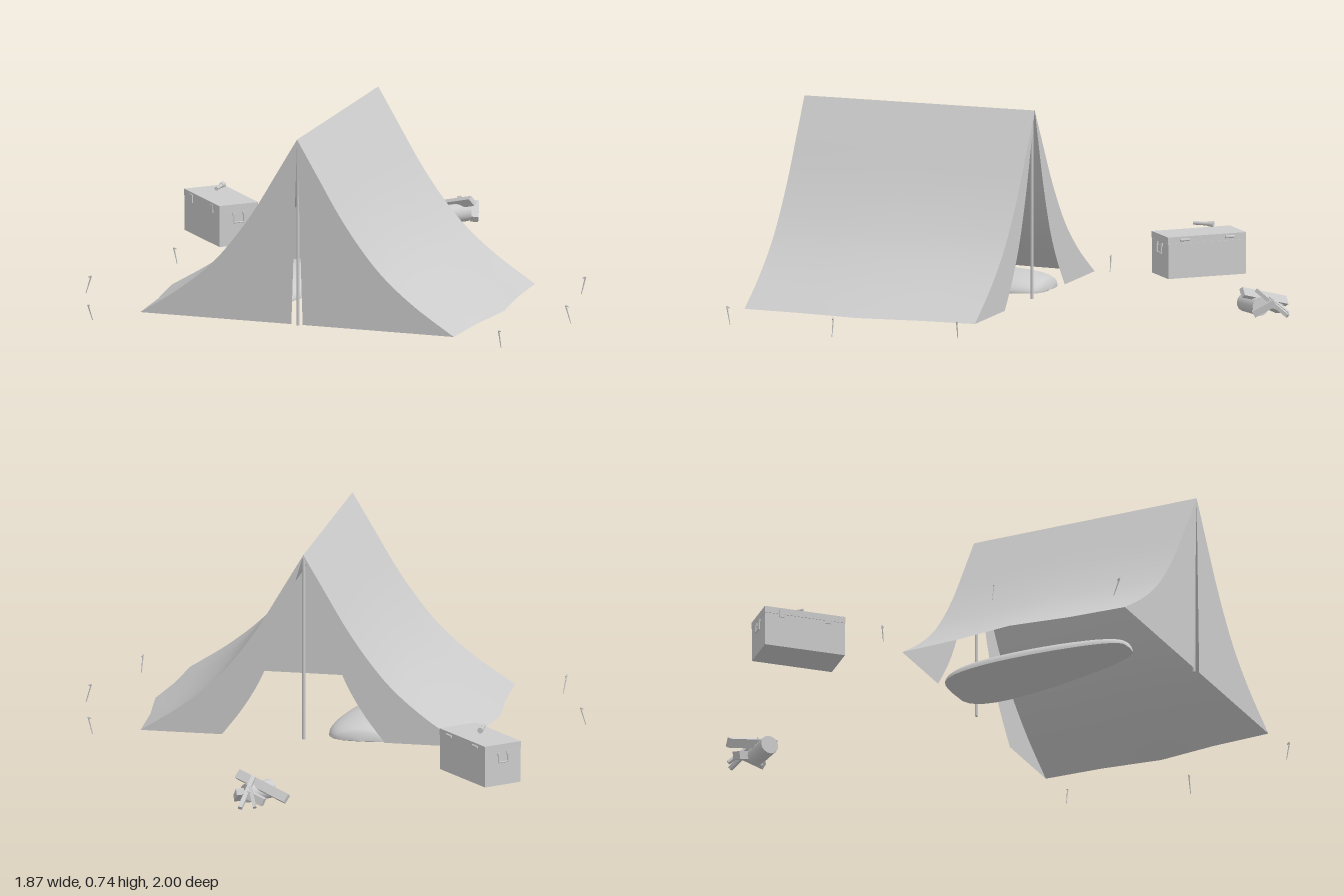
import * as THREE from 'three';

const grey = new THREE.MeshStandardMaterial({ color: 0xcccccc });
const cloth = new THREE.MeshStandardMaterial({ color: 0xcccccc, side: THREE.DoubleSide });
const V = (x, y, z) => new THREE.Vector3(x, y, z);
const lerp = THREE.MathUtils.lerp;

const RIDGE_X = 0.02, BACK = 0.02, FRONT = 0.93;

// Sagging cloth profile: distance from the ridge against height
const profile = new THREE.CatmullRomCurve3(
  [[0, 0.74], [0.08, 0.605], [0.17, 0.455], [0.26, 0.33], [0.34, 0.24], [0.46, 0.14], [0.612, 0.04]]
    .map(([d, y]) => V(d, y, 0)));

function add(parent, name, geometry, material = grey) {
  const mesh = new THREE.Mesh(geometry, material);
  mesh.name = name;
  parent.add(mesh);
  return mesh;
}

// Thin surface from a rule (u, v in 0..1) => point
function sheet(rule, nu, nv) {
  const g = new THREE.PlaneGeometry(1, 1, nu, nv);
  const p = g.attributes.position, uv = g.attributes.uv;
  for (let i = 0; i < p.count; i++) {
    const q = rule(uv.getX(i), uv.getY(i));
    p.setXYZ(i, q.x, q.y, q.z);
  }
  g.computeVertexNormals();
  return g;
}

// Places a mesh built along +y so that it runs from a to b
function aim(mesh, a, b) {
  mesh.position.copy(a).add(b).multiplyScalar(0.5);
  mesh.quaternion.setFromUnitVectors(V(0, 1, 0), b.clone().sub(a).normalize());
  return mesh;
}

function rod(parent, name, a, b, r, sides = 8, r2 = r) {
  return aim(add(parent, name, new THREE.CylinderGeometry(r2, r, a.distanceTo(b), sides)), a, b);
}

function plank(parent, name, a, b, w, t, roll = 0) {
  const g = new THREE.BoxGeometry(w, a.distanceTo(b), t).rotateY(roll);
  return aim(add(parent, name, g), a, b);
}

function makeTent() {
  const tent = new THREE.Group();
  tent.name = 'tent';
  const bulge = [0, 0.01, 0.037, 0.01, 0];
  for (const s of [1, -1]) {
    // Roof half, pulled outwards at the middle of its hem
    add(tent, 'roofSide', sheet((u, v) => {
      const p = profile.getPoint(v);
      return V(RIDGE_X + s * (p.x + bulge[Math.round(u * 4)] * v * v), p.y, lerp(BACK, FRONT, u));
    }, 4, 20), cloth);
    // Front flap, almost closed
    add(tent, 'frontFlap', sheet((u, v) => {
      const p = profile.getPoint(v);
      const inner = 0.022 * (0.74 - p.y) / 0.7;
      return V(RIDGE_X + s * lerp(inner, p.x, u), p.y, FRONT);
    }, 1, 20), cloth);
    // Back flap, drawn halfway open
    add(tent, 'backFlap', sheet((u, v) => {
      const p = profile.getPoint(v);
      return V(RIDGE_X + s * p.x * lerp(0.5, 1, u), p.y, BACK);
    }, 1, 20), cloth);
  }
  for (const z of [BACK + 0.01, FRONT - 0.01])
    rod(tent, 'pole', V(RIDGE_X, 0.035, z), V(RIDGE_X, 0.73, z), 0.006);
  return tent;
}

// Puffy bag, narrow at the feet, flat underneath
function makeSleepingBag() {
  const g = new THREE.SphereGeometry(1, 32, 20).rotateX(Math.PI / 2);
  const p = g.attributes.position;
  for (let i = 0; i < p.count; i++) {
    const x = p.getX(i), y = p.getY(i), z = p.getZ(i);
    const t = (1 - z) / 2;
    const full = 1 / Math.sqrt(Math.max(Math.hypot(x, y), 1e-3));
    p.setXYZ(i,
      lerp(-0.27, -0.19, t) + x * full * lerp(0.1, 0.19, t),
      0.037 + y * full * (y > 0 ? lerp(0.05, 0.075, t) : 0.006),
      0.415 + z * 0.38);
  }
  g.computeVertexNormals();
  const bag = new THREE.Mesh(g, grey);
  bag.name = 'sleepingBag';
  return bag;
}

// Peg with a small hook, given its foot and its head
function makePeg(foot, head) {
  const peg = new THREE.Group();
  peg.name = 'peg';
  rod(peg, 'pegShaft', foot, head, 0.0015, 6, 0.003);
  const out = V(head.x - foot.x, 0, head.z - foot.z).normalize().multiplyScalar(-0.011);
  rod(peg, 'pegHook', head, head.clone().add(out).add(V(0, -0.005, 0)), 0.0025, 6);
  return peg;
}

function makeChest() {
  const chest = new THREE.Group();
  chest.name = 'chest';
  const L = 0.31, W = 0.155;
  add(chest, 'chestBody', new THREE.BoxGeometry(L, 0.13, W)).position.y = 0.1;
  add(chest, 'chestLid', new THREE.BoxGeometry(L + 0.002, 0.025, W + 0.002)).position.y = 0.178;
  for (const s of [1, -1]) {
    // Drop handle on each end
    const x = s * (L / 2 + 0.004);
    rod(chest, 'handleGrip', V(x, 0.123, -0.02), V(x, 0.123, 0.02), 0.003);
    for (const z of [-0.02, 0.02]) {
      rod(chest, 'handleArm', V(x, 0.123, z), V(x, 0.155, z), 0.003);
      add(chest, 'handleMount', new THREE.BoxGeometry(0.008, 0.012, 0.012)).position.set(s * L / 2, 0.155, z);
    }
    // Latches on one long side, hinges on the other
    add(chest, 'latch', new THREE.BoxGeometry(0.022, 0.03, 0.006)).position.set(s * 0.09, 0.168, W / 2 + 0.001);
    rod(chest, 'hinge', V(s * 0.09 - 0.018, 0.178, -W / 2 - 0.002), V(s * 0.09 + 0.018, 0.178, -W / 2 - 0.002), 0.005);
  }
  chest.position.set(-0.72, 0, -0.343);
  chest.rotation.y = -Math.PI / 4 - 0.02;
  return chest;
}

function makeTorch() {
  const torch = new THREE.Group();
  torch.name = 'torch';
  rod(torch, 'torchBody', V(-0.73, 0.22, -0.318), V(-0.73, 0.22, -0.375), 0.007, 12);
  rod(torch, 'torchHead', V(-0.73, 0.22, -0.372), V(-0.73, 0.22, -0.396), 0.009, 12, 0.011);
  return torch;
}

function makeFirewood() {
  const pile = new THREE.Group();
  pile.name = 'firewood';
  rod(pile, 'thickLog', V(-0.022, 0.068, -0.795), V(0.05, 0.068, -0.885), 0.035, 16);
  plank(pile, 'leaningPlank', V(-0.11, 0.065, -0.922), V(0.093, 0.125, -0.828), 0.035, 0.018, 0.2);
  plank(pile, 'thinStick', V(0.052, 0.04, -0.992), V(0.028, 0.125, -0.86), 0.016, 0.014);
  plank(pile, 'shortSplit', V(0.085, 0.045, -0.87), V(0.06, 0.09, -0.945), 0.03, 0.025, 0.4);
  plank(pile, 'backSplit', V(-0.025, 0.05, -0.93), V(0.04, 0.075, -0.92), 0.03, 0.03);
  plank(pile, 'backStick', V(0.0, 0.04, -0.975), V(0.03, 0.1, -0.91), 0.012, 0.012);
  return pile;
}

export function createModel() {
  const model = new THREE.Group();
  model.name = 'campsite';
  model.add(makeTent(), makeSleepingBag(), makeChest(), makeTorch(), makeFirewood());
  // Pegs around the tent: foot x, y, z and head x, y, z
  for (const [a, b, c, d, e, f] of [
    [-0.763, 0.01, 0.025, -0.776, 0.07, 0.026],
    [0.812, 0.015, 0.018, 0.828, 0.08, 0.016],
    [-0.935, 0.002, 0.553, -0.915, 0.068, 0.552],
    [0.929, 0.012, 0.47, 0.909, 0.08, 0.472],
    [-0.765, 0.005, 0.967, -0.773, 0.068, 0.996],
    [0.812, 0.012, 0.918, 0.808, 0.078, 0.932],
  ]) model.add(makePeg(V(a, b, c), V(d, e, f)));
  return model;
}
